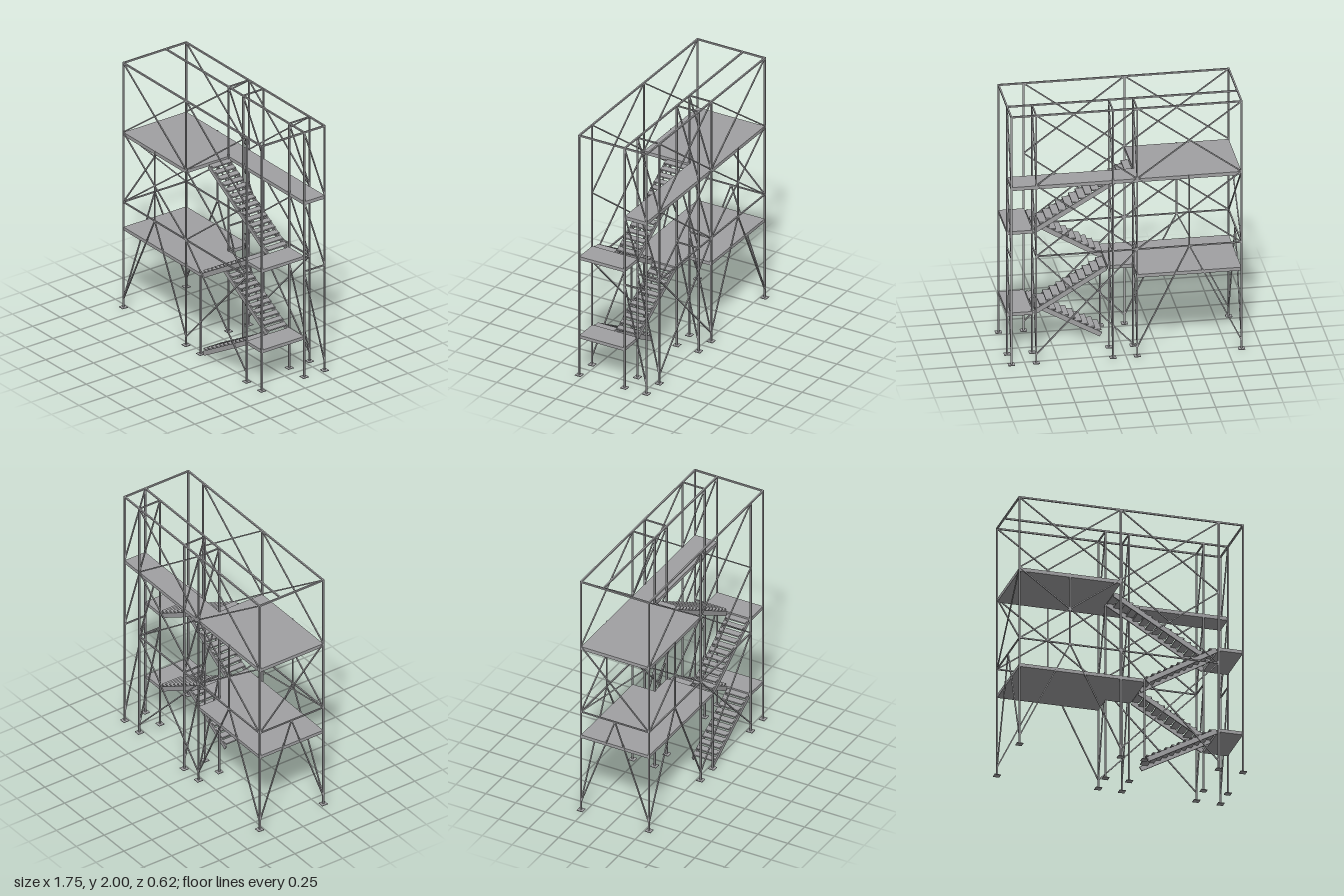
import * as THREE from 'three';

export function createModel() {
  const root = new THREE.Group();
  const steel = new THREE.MeshStandardMaterial({ color: 0xa0a0a2 });
  steel.name = 'galvanised grey';

  const group = (name) => {
    const g = new THREE.Group();
    g.name = name;
    root.add(g);
    return g;
  };

  // Box spanning min and max corners
  function box(parent, name, x0, x1, y0, y1, z0, z1) {
    const m = new THREE.Mesh(new THREE.BoxGeometry(x1 - x0, y1 - y0, z1 - z0), steel);
    m.position.set((x0 + x1) / 2, (y0 + y1) / 2, (z0 + z1) / 2);
    m.name = name;
    parent.add(m);
  }

  // Square bar between two points
  function bar(parent, name, a, b, t = 0.01, depth = t) {
    const p = new THREE.Vector3(...a), q = new THREE.Vector3(...b);
    const m = new THREE.Mesh(new THREE.BoxGeometry(t, depth, p.distanceTo(q)), steel);
    m.position.copy(p).add(q).multiplyScalar(0.5);
    m.lookAt(q);
    m.name = name;
    parent.add(m);
  }

  // Grid lines of the frame
  const L = -0.853, A = -0.08, B = 0.1, C = 0.668, R = 0.853;
  const F = 0.285, M = -0.1, K = -0.285;
  const mid = (L + A) / 2;
  const y1 = 0.86, y2 = 1.43, top = 1.994, foot = 0.07;

  // Posts on base plates
  const posts = group('posts');
  const plates = group('basePlates');
  const places = [[L, F], [A, F], [B, F, 0.64], [C, F], [R, F],
    [A, M], [B, M], [C, M], [R, M], [L, K], [A, K], [B, K], [C, K], [R, K]];
  for (const [x, z, h = 2] of places) {
    box(posts, 'post', x - 0.006, x + 0.006, 0, h, z - 0.006, z + 0.006);
    box(plates, 'basePlate', x - 0.024, x + 0.024, 0, 0.005, z - 0.024, z + 0.024);
  }
  for (const z of [F, K]) bar(posts, 'shortPost', [mid, y1, z], [mid, y2, z]);

  // Horizontal rails
  const rails = group('rails');
  for (const z of [F, M, K]) bar(rails, 'topRail', [L, top, z], [R, top, z], 0.012);
  for (const x of [L, R]) bar(rails, 'topRail', [x, top, K], [x, top, F], 0.012);
  for (const z of [F, K]) bar(rails, 'middleRail', [L, y1, z], [C, y1, z]);
  bar(rails, 'middleRail', [L, y1, K], [L, y1, F]);
  for (const x of [A, B, C, R]) {
    bar(rails, 'crossRail', [x, y1, K], [x, y1, M]);
    bar(rails, 'crossRail', [x, top, K], [x, top, M]);
  }

  // Diagonal bracing of the long sides
  const braces = group('braces');
  const cross = (x0, x1, ya, yb, z) => {
    bar(braces, 'brace', [x0, ya, z], [x1, yb, z], 0.009);
    bar(braces, 'brace', [x0, yb, z], [x1, ya, z], 0.009);
  };
  for (const z of [F, K]) {
    for (const [x0, x1] of [[L, A], [A, C]]) {
      cross(x0, x1, y1, y2, z);
      cross(x0, x1, y2, top, z);
    }
    for (const x of [L, A]) bar(braces, 'legBrace', [x, foot, z], [mid, y1, z], 0.009);
    cross(A, C, foot, y1, z);
  }
  // Bracing of the closed end
  for (const s of [-1, 1]) {
    bar(braces, 'endBrace', [L, y1, s * F], [L, y2, -s * F], 0.009);
    bar(braces, 'endLegBrace', [L, foot, s * F], [L, y1, 0], 0.009);
  }
  // Bracing across the narrow walkway
  for (const x of [A, B, C, R])
    for (const [lo, hi] of [[foot, y1], [y1, y2], [y2, top]])
      bar(braces, 'walkwayBrace', [x, lo, K], [x, hi, M], 0.009);

  // Decks and landings
  const decks = group('decks');
  box(decks, 'upperDeck', L, A, 1.4, 1.428, K, F);
  box(decks, 'upperWalkway', A, R, 1.4, 1.428, K, M);
  box(decks, 'lowerDeck', L, A, 0.63, 0.656, K, F);
  box(decks, 'lowerLanding', A, B + 0.01, 0.63, 0.656, M, F);
  for (const y of [0.305, 0.96]) box(decks, 'stairLanding', C - 0.004, R, y, y + 0.026, M, F);

  // Stair flight: two stringers and evenly spaced treads
  function flight(name, xa, ya, xb, yb, z0, z1, n) {
    const g = group(name);
    for (const z of [z0 + 0.006, z1 - 0.006])
      bar(g, 'stringer', [xa, ya, z], [xb, yb, z], 0.01, 0.036);
    for (let i = 0; i < n; i++) {
      const t = (i + 0.5) / n;
      const x = xa + (xb - xa) * t, y = ya + (yb - ya) * t + 0.022;
      box(g, 'tread', x - 0.028, x + 0.028, y - 0.005, y + 0.005, z0 + 0.008, z1 - 0.008);
    }
  }
  flight('firstFlight', 0.125, 0.013, C - 0.015, 0.31, 0.098, F - 0.004, 11);
  flight('secondFlight', C - 0.01, 0.315, B + 0.02, 0.635, M + 0.004, 0.09, 11);
  flight('thirdFlight', B + 0.02, 0.645, C - 0.015, 0.965, 0.098, F - 0.004, 11);
  flight('fourthFlight', C - 0.01, 0.97, A + 0.01, 1.402, M + 0.004, 0.09, 15);

  return root;
}
